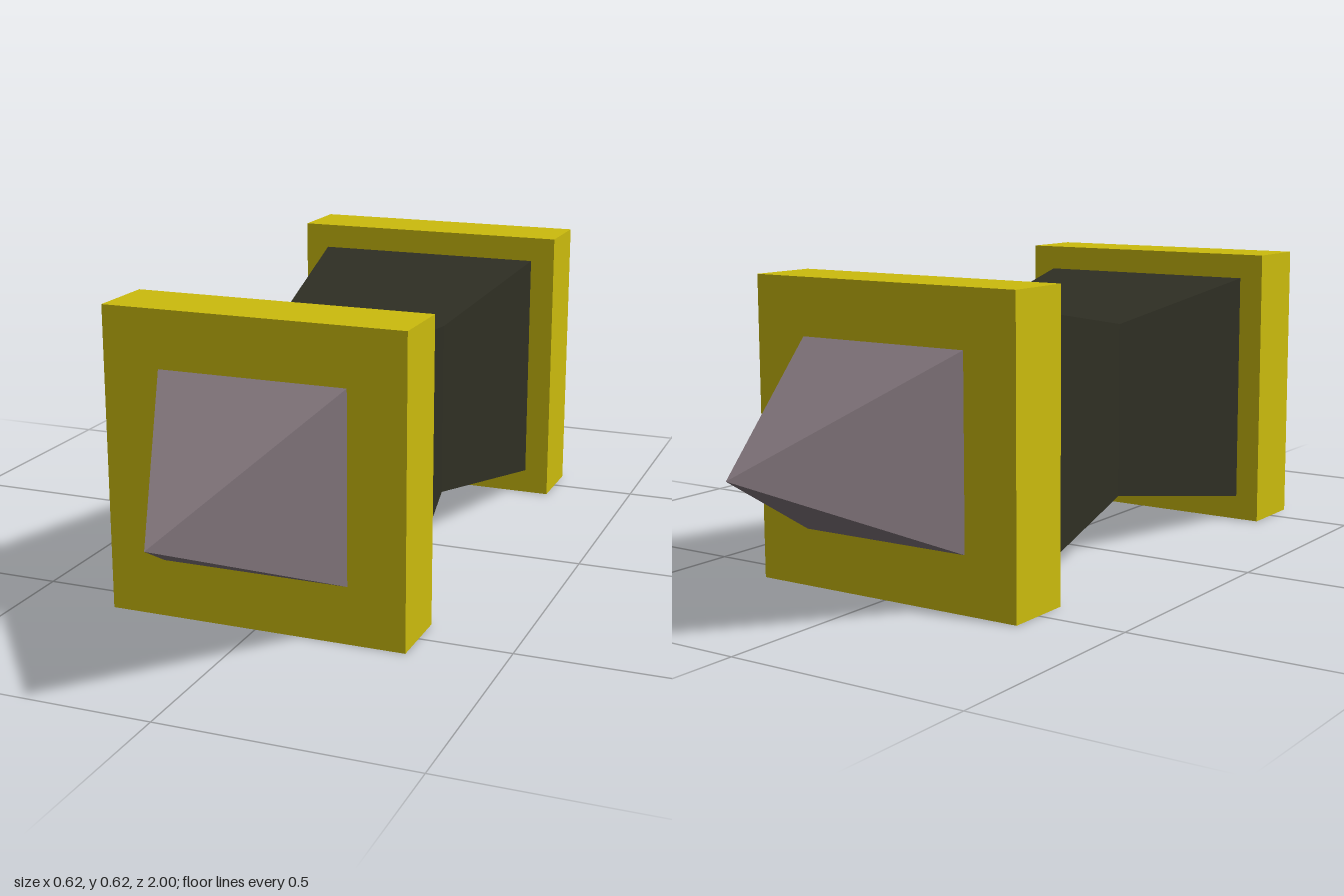
import * as THREE from 'three';

const CENTER_Y = 0.3115;

// Square frustum along z; front and back are half-widths at its +z and -z ends.
function squareFrustum(front, back, length, openEnded) {
  const g = new THREE.CylinderGeometry(front * Math.SQRT2, back * Math.SQRT2, length, 4, 1, openEnded);
  g.rotateY(Math.PI / 4);
  g.rotateX(Math.PI / 2);
  return g;
}

function material(name, color) {
  const m = new THREE.MeshStandardMaterial({ color, flatShading: true });
  m.name = name;
  return m;
}

export function createModel() {
  const group = new THREE.Group();
  group.name = 'spikedHandle';

  const gold = material('gold', 0xcbbb0d);
  const darkGrip = material('darkGrip', 0x2f2f24);
  const spikeGrey = material('spikeGrey', 0x7f7379);

  // Each end carries half of the waisted grip, a square guard and a pyramid spike.
  const gripGeometry = squareFrustum(0.257, 0.187, 0.425, true);
  const guardGeometry = new THREE.BoxGeometry(0.623, 0.623, 0.15);
  const spikeGeometry = squareFrustum(0, 0.194, 0.425, false);

  for (const [name, turn] of [['front', 0], ['back', Math.PI]]) {
    const end = new THREE.Group();
    end.name = name + 'End';
    const add = (part, geometry, mat, z) => {
      const mesh = new THREE.Mesh(geometry, mat);
      mesh.name = name + part;
      mesh.position.z = z;
      end.add(mesh);
    };
    add('Grip', gripGeometry, darkGrip, 0.2125);
    add('Guard', guardGeometry, gold, 0.5);
    add('Spike', spikeGeometry, spikeGrey, 0.7875);
    end.position.y = CENTER_Y;
    end.rotation.y = turn;
    group.add(end);
  }
  return group;
}
